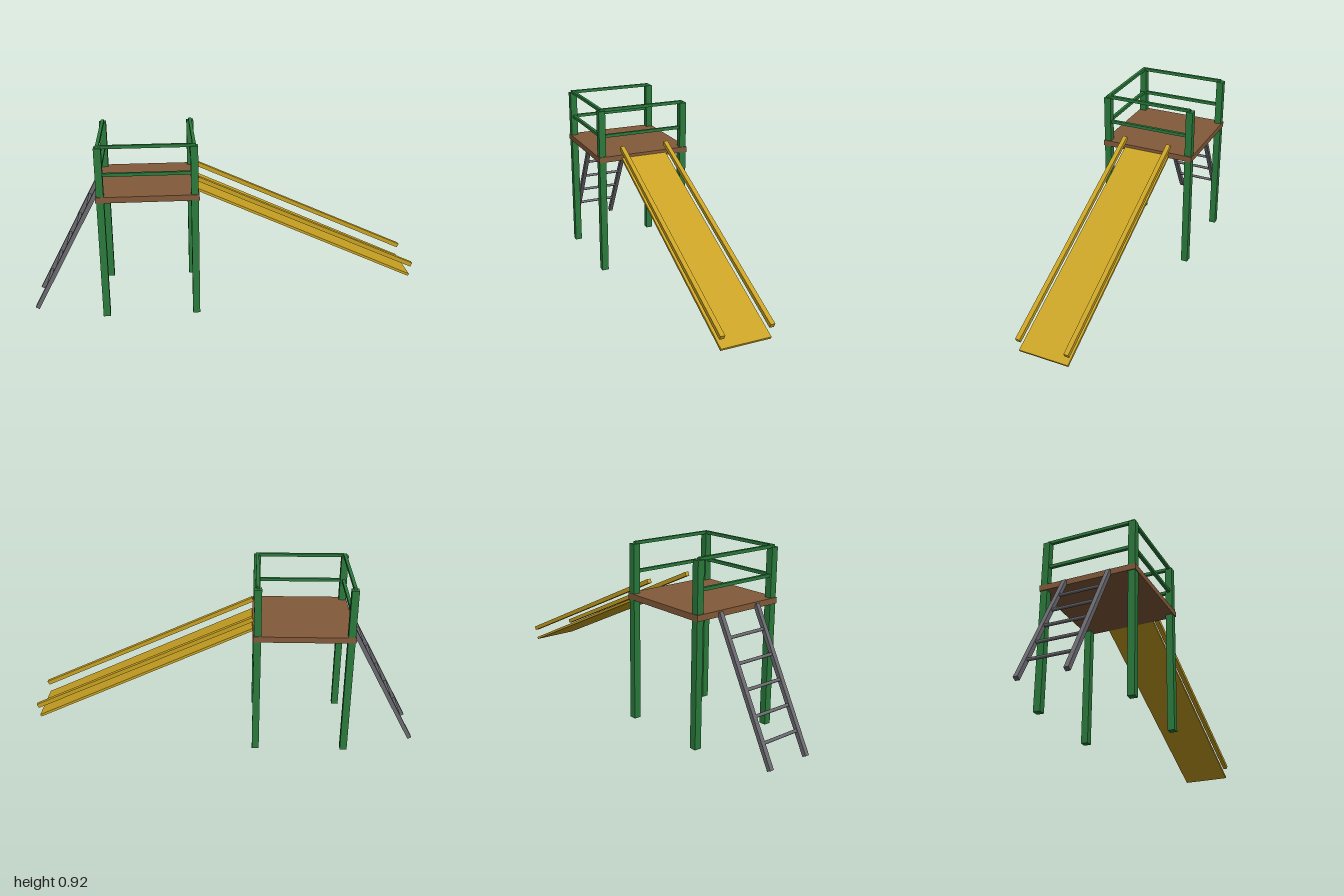
import * as THREE from 'three';

const mat = (name, color) => {
  const m = new THREE.MeshStandardMaterial({ color });
  m.name = name;
  return m;
};

export function createModel() {
  const green = mat('green frame', 0x2a7a3b);
  const brown = mat('brown deck', 0x835a3a);
  const yellow = mat('yellow slide', 0xc9a222);
  const grey = mat('grey ladder', 0x69696f);

  const model = new THREE.Group();
  model.name = 'playgroundSlide';

  const group = (name) => {
    const g = new THREE.Group();
    g.name = name;
    model.add(g);
    return g;
  };
  const box = (parent, name, material, size, pos) => {
    const mesh = new THREE.Mesh(new THREE.BoxGeometry(...size), material);
    mesh.name = name;
    mesh.position.set(...pos);
    parent.add(mesh);
    return mesh;
  };
  // Sloped bar in the xy plane from a to b, centred at depth z
  const bar = (parent, name, material, a, b, thick, depth, z) => {
    const dx = b[0] - a[0], dy = b[1] - a[1];
    const mesh = box(parent, name, material, [Math.hypot(dx, dy), thick, depth],
      [(a[0] + b[0]) / 2, (a[1] + b[1]) / 2, z]);
    mesh.rotation.z = Math.atan2(dy, dx);
  };

  // Tower: deck and four posts
  const tower = group('tower');
  const xs = [-0.622, -0.162], zPost = 0.231;
  const xMid = (xs[0] + xs[1]) / 2;
  box(tower, 'deck', brown, [0.505, 0.03, 0.505], [xMid, 0.646, 0]);
  for (const x of xs) for (const s of [1, -1])
    box(tower, 'post', green, [0.036, 0.897, 0.036], [x, 0.457, s * zPost]);

  // Guard rails on three sides; the back stays open
  const guard = group('guardRails');
  for (const y of [0.769, 0.908]) {
    box(guard, 'frontRail', green, [0.478, 0.016, 0.016], [xMid, y, zPost]);
    for (const x of xs)
      box(guard, 'sideRail', green, [0.016, 0.016, 0.462], [x, y, 0]);
  }

  // Slide: flat bed and two raised side rails
  const slide = group('slide');
  bar(slide, 'slideBed', yellow, [-0.14, 0.64], [0.988, 0.114], 0.013, 0.252, 0);
  for (const s of [1, -1])
    bar(slide, 'slideRail', yellow, [-0.14, 0.7], [0.995, 0.178], 0.022, 0.023, s * 0.124);

  // Ladder: two stringers and five round rungs
  const ladder = group('ladder');
  const foot = [-0.99, 0.005], top = [-0.643, 0.652];
  for (const s of [1, -1])
    bar(ladder, 'stringer', grey, foot, top, 0.022, 0.022, s * 0.116);
  for (let i = 1; i <= 5; i++) {
    const t = i / 6;
    const rung = new THREE.Mesh(new THREE.CylinderGeometry(0.008, 0.008, 0.23, 12), grey);
    rung.name = 'rung';
    rung.rotation.x = Math.PI / 2;
    rung.position.set(foot[0] + t * (top[0] - foot[0]), foot[1] + t * (top[1] - foot[1]), 0);
    ladder.add(rung);
  }

  return model;
}
